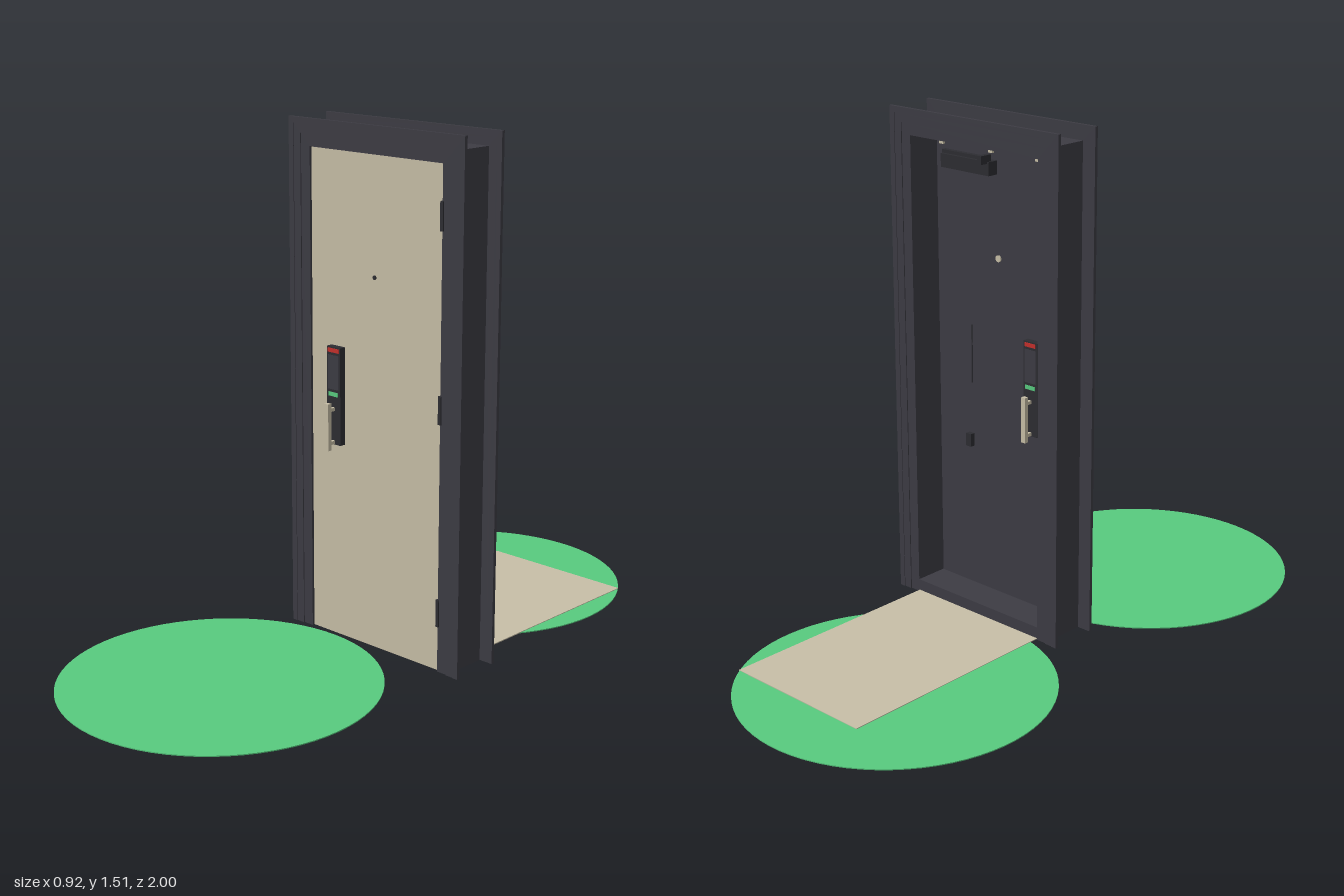
import * as THREE from 'three';

const mat = (name, color) => {
  const m = new THREE.MeshStandardMaterial({ color });
  m.name = name;
  return m;
};

export function createModel() {
  const root = new THREE.Group();
  const dark = mat('charcoal metal', 0x3d3c44);
  const black = mat('black plastic', 0x2d2d32);
  const beige = mat('beige', 0xc8bfa7);
  const green = mat('green', 0x58cb7f);
  const red = mat('red', 0xc5302c);

  const add = (parent, name, geo, material, x = 0, y = 0, z = 0) => {
    const m = new THREE.Mesh(geo, material);
    m.name = name;
    m.position.set(x, y, z);
    parent.add(m);
    return m;
  };
  // Box given by its limits on each axis
  const box = (parent, name, material, x0, x1, y0, y1, z0, z1) =>
    add(parent, name, new THREE.BoxGeometry(x1 - x0, y1 - y0, z1 - z0), material,
      (x0 + x1) / 2, (y0 + y1) / 2, (z0 + z1) / 2);

  // Doorway opening limits
  const L = -0.11, R = 0.382, T = 1.43;
  const leafBack = 0.03, leafFront = 0.07;

  // Upside-down U around the opening, between two offsets from it
  const surround = (name, inner, outer, z0, z1) => {
    const s = new THREE.Shape([
      [L - outer, 0], [L - inner, 0], [L - inner, T + inner], [R + inner, T + inner],
      [R + inner, 0], [R + outer, 0], [R + outer, T + outer], [L - outer, T + outer],
    ].map(([x, y]) => new THREE.Vector2(x, y)));
    const geo = new THREE.ExtrudeGeometry(s, { depth: z1 - z0, bevelEnabled: false });
    return add(root, name, geo, dark, 0, 0, z0);
  };
  surround('frameBody', 0, 0.034, -0.072, 0.072);
  for (const [side, f] of [['front', 1], ['back', -1]]) {
    const layer = (name, a, b, near, far) =>
      surround(side + name, a, b, Math.min(f * near, f * far), Math.max(f * near, f * far));
    layer('CasingInner', 0, 0.034, 0.072, 0.075);
    layer('CasingMiddle', 0.034, 0.06, 0.07, 0.078);
    layer('CasingLip', 0.06, 0.078, 0.07, 0.08);
  }
  box(root, 'sill', dark, L, R, 0, 0.04, -0.075, leafBack);

  // Door leaf: beige outside, dark inside
  const leaf = add(root, 'doorLeaf',
    new THREE.BoxGeometry(R - L - 0.004, T - 0.004, leafFront - leafBack),
    [dark, dark, dark, dark, beige, dark],
    (L + R) / 2, T / 2, (leafBack + leafFront) / 2);
  leaf.position.y = T / 2;

  // Lock-side strips on the inside
  box(root, 'redStrip', red, L + 0.003, -0.075, 0.04, T - 0.003, leafBack - 0.003, leafBack);
  box(root, 'greenStrip', green, -0.062, -0.032, 0.04, T - 0.003, leafBack - 0.003, leafBack);

  // Hinges
  for (const y of [0.175, 0.76, 1.29])
    box(root, 'hinge', black, 0.377, 0.387, y - 0.04, y + 0.04, 0.06, 0.079);

  // Peephole through the leaf
  const peep = (name, r, z, depth, m) => {
    const g = new THREE.CylinderGeometry(r, r, depth, 20).rotateX(Math.PI / 2);
    add(root, name, g, m, 0.135, 1.09, z);
  };
  peep('peepholeOutside', 0.006, leafFront, 0.006, black);
  peep('peepholeInside', 0.01, leafBack, 0.008, beige);

  // Lock with lever, built once for each face of the leaf
  const makeLock = (name) => {
    const g = new THREE.Group();
    g.name = name;
    box(g, 'lockPlate', black, -0.026, 0.026, 0.588, 0.874, 0, 0.02);
    box(g, 'redBar', red, -0.021, 0.021, 0.858, 0.87, 0.02, 0.022);
    box(g, 'greenBar', green, -0.018, 0.018, 0.73, 0.742, 0.02, 0.022);
    box(g, 'keypad', dark, -0.021, 0.021, 0.75, 0.85, 0.02, 0.021);
    box(g, 'handleBar', beige, -0.0075, 0.0075, 0.575, 0.713, 0.037, 0.05);
    for (const y of [0.595, 0.693])
      box(g, 'handlePost', beige, -0.005, 0.005, y - 0.005, y + 0.005, 0.018, 0.04);
    root.add(g);
    return g;
  };
  makeLock('outsideLock').position.set(-0.005, 0, leafFront);
  const inside = makeLock('insideLock');
  inside.position.set(-0.005, 0, leafBack);
  inside.rotation.y = Math.PI;

  // Closer and small fittings on the inside
  box(root, 'closerBody', black, 0.14, 0.33, 1.335, 1.375, -0.005, leafBack);
  box(root, 'closerArm', black, 0.15, 0.3, 1.385, 1.395, -0.03, -0.015);
  box(root, 'closerPivot', black, 0.145, 0.16, 1.37, 1.395, -0.03, 0.01);
  for (const x of [-0.02, 0.16, 0.355])
    box(root, 'topFitting', beige, x - 0.008, x + 0.008, 1.395, 1.41, leafBack - 0.008, leafBack);
  box(root, 'insideSeam', black, 0.243, 0.247, 0.69, 0.87, leafBack - 0.002, leafBack);
  box(root, 'insideKnob', black, 0.24, 0.26, 0.49, 0.53, leafBack - 0.015, leafBack);

  // Floor discs on both sides and the walkway behind
  for (const [name, z] of [['frontDisc', 0.5425], ['backDisc', -0.545]])
    add(root, name, new THREE.CylinderGeometry(0.455, 0.455, 0.003, 72), green, -0.005, 0.0015, z);
  box(root, 'walkway', beige, L, 0.38, 0.002, 0.005, -0.79, -0.07);

  return root;
}
